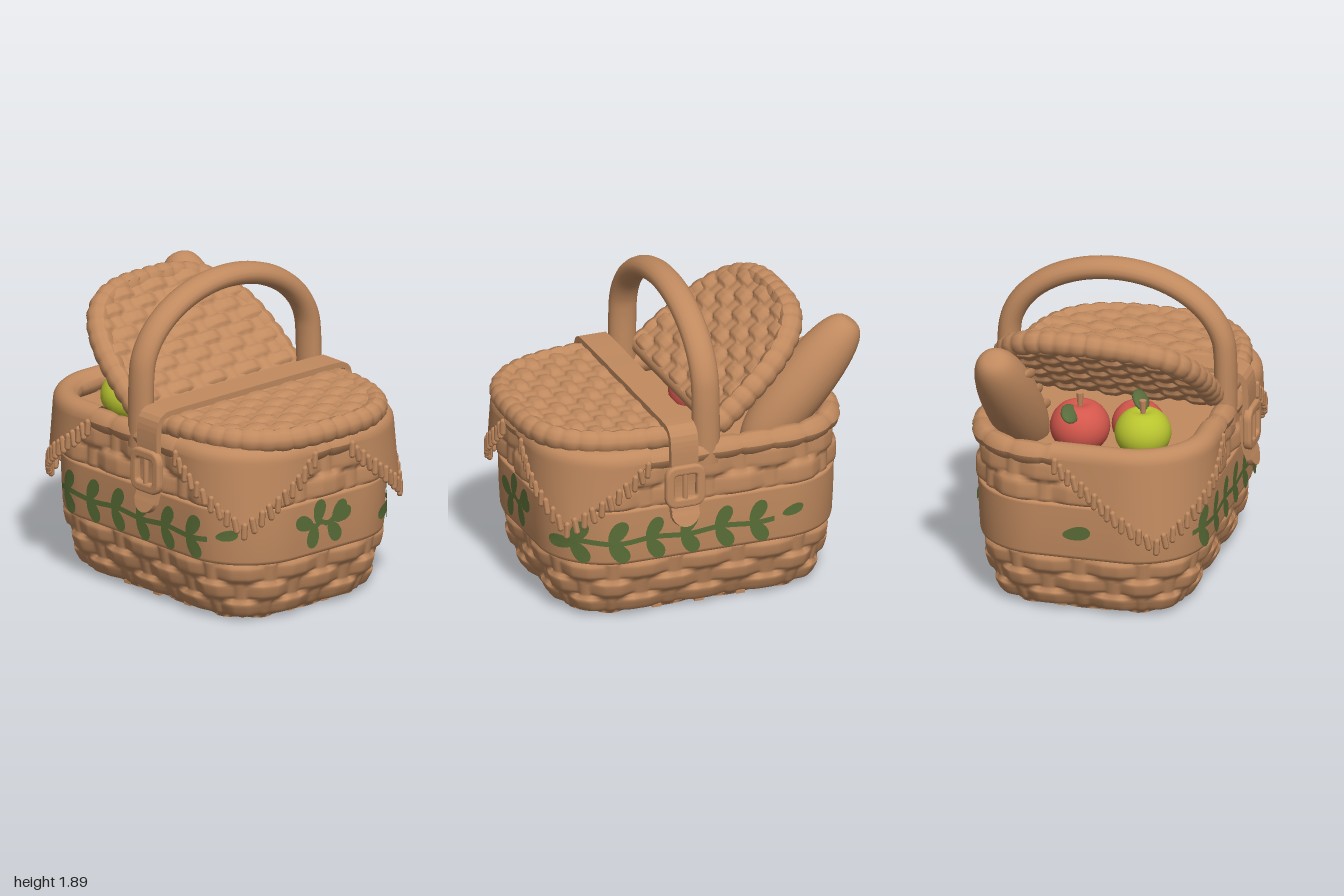
import * as THREE from 'three';
import { mergeVertices } from 'three/addons/utils/BufferGeometryUtils.js';

const mat = (name, color, side = THREE.FrontSide) => Object.assign(new THREE.MeshStandardMaterial({ color, side }), { name });
const V = (x, y, z) => new THREE.Vector3(x, y, z);

// Rounded-rectangle footprint, walked by arc length s from the front middle towards +x
const A = 0.88, B = 0.655, R = 0.4, ARC = Math.PI * R / 2;
const QUARTER = (A - R) + ARC + (B - R), L = 4 * QUARTER;
function at(s, y, off = 0) {
  s = ((s % L) + L) % L;
  const back = s > L / 2, t0 = back ? L - s : s;         // mirror in x
  const rear = t0 > L / 4, t = rear ? L / 2 - t0 : t0;   // mirror in z
  let x, z;
  if (t < A - R) { x = t; z = B + off; }
  else if (t < A - R + ARC) {
    const a = (t - (A - R)) / R;
    x = A - R + (R + off) * Math.sin(a); z = B - R + (R + off) * Math.cos(a);
  } else { x = A + off; z = QUARTER - t; }
  return V(back ? -x : x, y, rear ? -z : z);
}

// Smooth surface from a rule f(u, v)
function surface(nu, nv, f) {
  const g = new THREE.PlaneGeometry(1, 1, nu, nv), p = g.attributes.position;
  for (let i = 0; i < p.count; i++) {
    const q = f(p.getX(i) + 0.5, p.getY(i) + 0.5);
    p.setXYZ(i, q.x, q.y, q.z);
  }
  g.deleteAttribute('uv'); g.deleteAttribute('normal');
  const m = mergeVertices(g, 1e-5);
  m.computeVertexNormals();
  return m;
}

// Height of a woven pattern: strands passing over and under stakes
function weave(along, rows, spacing, size) {
  const row = Math.floor(rows), v = (rows - row) * 2 - 1;
  const over = Math.max(-1, Math.min(1, 1.4 * Math.cos(Math.PI * (along / spacing + row))));
  const strand = Math.sqrt(Math.max(0, 1 - v ** 4)) * 0.026 + 0.016 * over;
  const w = (along / spacing - Math.round(along / spacing)) * spacing / 0.045;
  return size * Math.max(strand, 0.024 * Math.sqrt(Math.max(0, 1 - w * w)) - 0.004);
}

// Rope: a tube with swellings along its length
function rope(curve, n, radius, beads, closed = false) {
  const g = new THREE.TubeGeometry(curve, n, radius, 10, closed), p = g.attributes.position;
  for (let i = 0; i < p.count; i++) {
    const k = Math.floor(i / 11) / n, c = curve.getPointAt(k), q = V().fromBufferAttribute(p, i);
    q.sub(c).multiplyScalar(0.84 + 0.18 * Math.sqrt(Math.abs(Math.sin(Math.PI * beads * k)))).add(c);
    p.setXYZ(i, q.x, q.y, q.z);
  }
  g.computeVertexNormals();
  return g;
}

export function createModel() {
  const root = new THREE.Group();
  const wicker = mat('wicker brown', 0xc18a5f, THREE.DoubleSide), vine = mat('vine green', 0x596d37, THREE.DoubleSide);
  const leafGreen = mat('leaf green', 0x596d3c), red = mat('apple red', 0xd4574c), lime = mat('apple lime', 0xb9c42f);
  const add = (name, geo, m = wicker, parent = root) => {
    const o = new THREE.Mesh(geo, m); o.name = name; parent.add(o); return o;
  };

  // Woven body
  const prof = [[0.015, -0.18], [0.05, -0.12], [0.12, -0.085], [0.25, -0.045], [0.4, -0.012], [0.6, 0.004], [1.02, 0.005]];
  const bodyOff = y => {
    let i = 0;
    while (i < prof.length - 2 && y > prof[i + 1][0]) i++;
    const [y0, o0] = prof[i], [y1, o1] = prof[i + 1];
    return o0 + (o1 - o0) * (y - y0) / (y1 - y0);
  };
  add('wovenBody', surface(448, 60, (u, v) => {
    const y = 0.015 + v * 1.005, s = u * L;
    const d = y < 0.39 ? weave(s, (y - 0.03) / 0.118, L / 28, 0.9) : y > 0.72 ? weave(s, (y - 0.72) / 0.14 + 1, L / 28, 0.9) : 0;
    return at(s, y, bodyOff(y) + d);
  }));

  // Smooth painted band
  const bandProf = [[0.38, -0.02], [0.39, 0.012], [0.41, 0.018], [0.55, 0.026], [0.71, 0.03], [0.725, 0.026], [0.732, -0.01]];
  add('paintedBand', surface(140, 6, (u, v) => at(u * L, ...bandProf[Math.round(v * 6)])));

  // Floor inside, base plate and base lattice
  const slab = (name, y, off) => {
    const pts = Array.from({ length: 64 }, (_, i) => at(i / 64 * L, 0, off)).map(p => new THREE.Vector2(p.x, p.z));
    add(name, new THREE.ShapeGeometry(new THREE.Shape(pts)).rotateX(Math.PI / 2)).position.y = y;
  };
  slab('innerFloor', 0.96, -0.02);
  slab('basePlate', 0.075, -0.11);
  const reach = (a, b, q) => a * (1 - Math.abs(q / b) ** 3) ** (1 / 3);
  const slat = (i, half, q, alongX) => {
    const g = new THREE.BoxGeometry(half * 2, 0.02, 0.055, 36, 1, 1), p = g.attributes.position;
    for (let k = 0; k < p.count; k++) p.setY(k, p.getY(k) + 0.011 * Math.cos(Math.PI * (p.getX(k) / 0.13 + i)) * (alongX ? 1 : -1));
    g.computeVertexNormals();
    const o = add('baseSlat', g);
    o.position.set(alongX ? 0 : q, 0.032, alongX ? q : 0);
    if (!alongX) o.rotation.y = Math.PI / 2;
  };
  for (let i = -3; i <= 3; i++) slat(i, reach(0.74, 0.53, i * 0.13), i * 0.13, true);
  for (let i = -5; i <= 5; i++) slat(i, reach(0.52, 0.75, i * 0.13), i * 0.13, false);

  // Rim rope
  const rimCurve = new THREE.CatmullRomCurve3(Array.from({ length: 48 }, (_, i) => at(i / 48 * L, 1.025, 0)), true);
  add('rimRope', rope(rimCurve, 224, 0.068, 28, true));

  // Vines: leaves and stems wrapped on the band
  const leaf = (s, y, ang, len = 0.155, wid = 0.045) => {
    const g = new THREE.CircleGeometry(1, 18), p = g.attributes.position, c = Math.cos(ang), n = Math.sin(ang);
    for (let i = 0; i < p.count; i++) {
      const a = (p.getX(i) + 1) * len / 2, b = p.getY(i) * wid * (1 + 0.2 * p.getX(i));
      const q = at(s + a * c - b * n, y + a * n + b * c, 0.036);
      p.setXYZ(i, q.x, q.y, q.z);
    }
    g.computeVertexNormals();
    add('vineLeaf', g, vine);
  };
  const stem = (s0, s1, y) => add('vineStem', surface(40, 1, (u, v) =>
    at(s0 + (s1 - s0) * u, y + 0.008 * Math.sin(u * 19) + (v - 0.5) * 0.032, 0.035)), vine);
  for (const s0 of [-0.68, L / 2 - 0.88]) {
    stem(s0, s0 + 1.28, 0.535);
    for (let i = 0; i < 6; i++) {
      const s = s0 + 0.06 + i * 0.215;
      leaf(s, 0.53, 1.0); leaf(s, 0.535, -0.9);
    }
    leaf(s0 + 1.33, 0.555, 0.25, 0.13, 0.032);
  }
  leaf(L / 2 - 0.8, 0.52, 3.2, 0.17, 0.04);
  const side = L / 4;
  stem(side - 0.17, side + 0.1, 0.575);
  [[-0.12, 0.57, 2.75], [-0.11, 0.58, -1.75], [-0.09, 0.58, 1.35], [0, 0.57, -1.0], [0.03, 0.57, 0.85], [0.03, 0.58, 0.25]]
    .forEach(([ds, y, a]) => leaf(side + ds, y, a, 0.145));
  leaf(3 * side - 0.08, 0.54, 0.2, 0.17, 0.042);

  // Cloth corners with fringe, tips flaring outwards
  for (const [sc, half, tip] of [[0.81, 0.43, 0.66], [L / 2 - 0.81, 0.43, 0.66], [-0.92, 0.59, 0.57]]) {
    const spread = s => Math.min(1, Math.abs(s - sc) / half);
    const bottom = s => tip + (1.04 - tip) * spread(s);
    const hang = (s, y) => at(s, y, 0.075 + 0.09 * (1.03 - y) * (1 - spread(s)));
    add('clothCorner', surface(48, 20, (u, v) => {
      const s = sc + (u * 2 - 1) * half;
      if (v <= 0.6) return hang(s, bottom(s) + (1.03 - bottom(s)) * v / 0.6);
      const a = (v - 0.6) / 0.4 * 2.7;
      return at(s, 1.03 + 0.076 * Math.sin(a), 0.075 * Math.cos(a));
    }));
    const n = Math.round(half * 24);
    for (let i = -n; i <= n; i++) {
      const s = sc + i / n * half * 0.95, y = bottom(s) - 0.03;
      const o = add('fringeTassel', new THREE.CapsuleGeometry(0.019, 0.07, 3, 6));
      o.position.copy(hang(s, y));
      o.lookAt(at(s, y, 1));
      o.rotateZ(i % 2 ? 0.2 : -0.05);
    }
  }

  // Lids: D-shaped woven panel with a rope edge
  const lid = (name, len, w, angle, px, py, flip, size, thick) => {
    const g = new THREE.Group(), E = 3; g.name = name; root.add(g);
    const panel = sign => surface(72, 72, (u, v) => {
      const x = len * u, z = -sign * w * (1 - u ** E) ** (1 / E) * (v * 2 - 1);
      return V(x, sign * (thick - 0.035 + weave(z, x / 0.085, 0.13, size)), z);
    });
    add('lidTop', panel(1), wicker, g);
    add('lidUnderside', panel(-1), wicker, g);
    const pts = Array.from({ length: 33 }, (_, i) => {
      const t = (i / 16 - 1) * Math.PI / 2, c = Math.max(0, Math.cos(t)), n = Math.sin(t);
      return V(len * c ** (2 / E), 0, w * Math.sign(n) * Math.abs(n) ** (2 / E));
    });
    add('lidEdgeRope', rope(new THREE.CatmullRomCurve3(pts), 200, thick, 26), wicker, g);
    const bar = add('lidHingeBar', new THREE.CapsuleGeometry(0.05, w * 2, 6, 12).rotateX(Math.PI / 2), wicker, g);
    bar.position.x = 0.01;
    g.rotation.set(0, flip ? Math.PI : 0, angle, 'ZYX');
    g.position.set(px, py, 0);
  };
  lid('closedLid', 0.855, 0.635, 0, 0.08, 1.14, false, 0.75, 0.068);
  lid('openLid', 0.79, 0.595, -0.69, -0.07, 1.14, true, 0.85, 0.072);

  // Arched handle
  const arch = [V(0, 0.95, 0.65), V(0, 1.15, 0.65)];
  for (let i = 0; i <= 16; i++) {
    const a = i / 16 * Math.PI;
    arch.push(V(0, 1.37 + 0.47 * Math.sin(a), 0.645 * Math.cos(a)));
  }
  arch.push(V(0, 1.15, -0.65), V(0, 0.95, -0.65));
  const handle = add('handle', new THREE.TubeGeometry(new THREE.CatmullRomCurve3(arch), 80, 0.066, 16));
  handle.scale.x = 1.27; handle.position.x = 0.012;

  // Strap over the closed lid
  const halfPath = [[0.765, 0.68], [0.735, 0.77], [0.73, 0.87], [0.742, 1.0], [0.738, 1.13], [0.715, 1.19], [0.65, 1.212], [0.3, 1.215]];
  const path = new THREE.SplineCurve([...halfPath, ...halfPath.slice().reverse().map(([z, y]) => [-z, y])].map(p => new THREE.Vector2(...p)));
  const edge = d => Array.from({ length: 81 }, (_, i) => {
    const p = path.getPointAt(i / 80), t = path.getTangentAt(i / 80);
    return new THREE.Vector2(p.x - t.y * d, p.y + t.x * d);
  });
  const strapShape = new THREE.Shape([...edge(0.018), ...edge(-0.018).reverse()]);
  add('strap', new THREE.ExtrudeGeometry(strapShape, { depth: 0.17, bevelEnabled: false }).rotateY(-Math.PI / 2)).position.x = 0.27;

  // Strap tails and buckles, front and back
  const box = (Kind, w, h, r) => {
    const p = new Kind();
    p.moveTo(-w + r, -h).lineTo(w - r, -h).quadraticCurveTo(w, -h, w, -h + r).lineTo(w, h - r).quadraticCurveTo(w, h, w - r, h);
    p.lineTo(-w + r, h).quadraticCurveTo(-w, h, -w, h - r).lineTo(-w, -h + r).quadraticCurveTo(-w, -h, -w + r, -h);
    return p;
  };
  const ring = box(THREE.Shape, 0.108, 0.115, 0.06);
  ring.holes.push(box(THREE.Path, 0.084, 0.088, 0.04));
  for (const k of [1, -1]) {
    const g = new THREE.Group(); g.name = 'buckle'; root.add(g);
    g.position.set(0.185, 0.87, 0); if (k < 0) g.rotation.y = Math.PI;
    const tail = add('strapTail', new THREE.CylinderGeometry(0.085, 0.085, 0.034, 24).rotateX(Math.PI / 2), wicker, g);
    tail.position.set(0, -0.17, 0.758); tail.rotation.x = -0.3;
    add('buckleFrame', new THREE.ExtrudeGeometry(ring, { depth: 0.02, bevelSize: 0.016, bevelThickness: 0.015, bevelSegments: 3 }), wicker, g).position.z = 0.75;
    add('bucklePin', new THREE.CapsuleGeometry(0.018, 0.15, 4, 8), wicker, g).position.z = 0.765;
  }

  // Bread loaf with scored crust
  const loaf = new THREE.Group(); loaf.name = 'breadLoaf'; root.add(loaf);
  const top = V(-0.86, 1.5, -0.48), low = V(-0.45, 0.98, -0.42), half = top.distanceTo(low) / 2 + 0.155;
  add('loaf', surface(28, 28, (u, v) => {
    const a = u * 2 * Math.PI, e = (v - 0.5) * Math.PI, r = 0.17 * Math.max(0, Math.cos(e)) ** 0.62;
    return V(r * Math.sin(a), half * Math.sin(e), r * Math.cos(a));
  }), wicker, loaf);
  for (let i = 0; i < 3; i++) {
    const score = add('crustScore', new THREE.SphereGeometry(1, 14, 8), wicker, loaf);
    score.scale.set(0.03, 0.1, 0.018); score.position.set(0.07, 0.2 - i * 0.18, 0.145); score.rotation.z = 0.6;
  }
  loaf.position.copy(top).add(low).multiplyScalar(0.5);
  loaf.quaternion.setFromUnitVectors(V(0, 1, 0), top.clone().sub(low).normalize());

  // Apples with stems; leaf is [x, y, z, turn, tilt] from the apple's centre
  const apple = (x, y, z, r, m, leafAt) => {
    const g = new THREE.Group(); g.name = 'apple'; root.add(g);
    const body = surface(28, 18, (u, v) => {
      const a = u * 2 * Math.PI, e = (v - 0.5) * Math.PI, c = Math.cos(e), h = Math.sin(e);
      return V(c * Math.sin(a), 0.92 * h - 0.22 * Math.sign(h) * Math.exp(-((c / 0.3) ** 2)), c * Math.cos(a)).multiplyScalar(r);
    });
    add('appleBody', body, m, g);
    if (leafAt) {
      add('appleStem', new THREE.CylinderGeometry(0.022, 0.014, 0.1, 8), wicker, g).position.y = r * 0.9;
      const l = add('appleLeaf', new THREE.SphereGeometry(1, 16, 10), leafGreen, g);
      l.scale.set(0.1, 0.024, 0.056);
      l.position.set(...leafAt); l.rotation.set(0.5, leafAt[3], leafAt[4], 'YZX');
    }
    g.position.set(x, y, z);
  };
  apple(-0.63, 1.115, -0.05, 0.175, red, [-0.12, 0.12, -0.03, 0.1, 0.1]);
  apple(-0.495, 1.055, 0.29, 0.165, lime, [0.1, 0.155, -0.04, 0.3, 0.2]);
  apple(-0.26, 1.0, 0.2, 0.155, red);

  return root;
}
